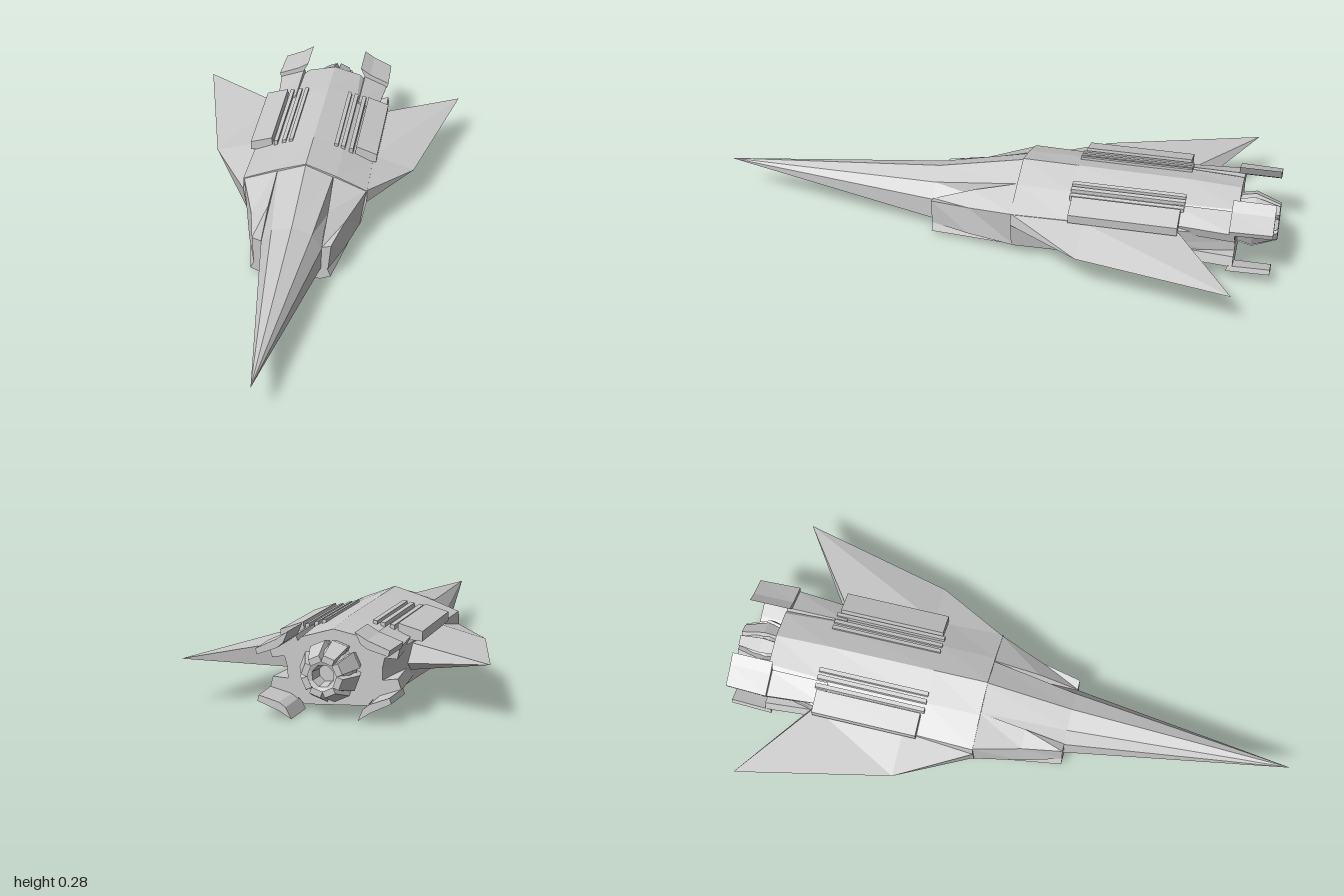
import * as THREE from 'three';

const material = new THREE.MeshStandardMaterial({ color: 0xcccccc, flatShading: true });

// Closed loft through rings of [x, y, z], ordered front to back
function loft(rings) {
  const area = (r) => r.reduce((s, p, i) => {
    const q = r[(i + 1) % r.length];
    return s + p[0] * q[1] - q[0] * p[1];
  }, 0);
  if (rings.reduce((s, r) => s + area(r), 0) < 0) rings = rings.map((r) => [...r].reverse());
  const pos = [];
  const tri = (...pts) => pts.forEach((p) => pos.push(...p));
  const n = rings[0].length;
  for (let i = 0; i < rings.length - 1; i++) {
    for (let j = 0; j < n; j++) {
      const k = (j + 1) % n, A = rings[i], B = rings[i + 1];
      tri(A[j], B[j], A[k]);
      tri(A[k], B[j], B[k]);
    }
  }
  const F = rings[0], L = rings[rings.length - 1];
  for (let j = 1; j < n - 1; j++) {
    tri(F[0], F[j], F[j + 1]);
    tri(L[0], L[j + 1], L[j]);
  }
  const g = new THREE.BufferGeometry();
  g.setAttribute('position', new THREE.Float32BufferAttribute(pos, 3));
  g.computeVertexNormals();
  return g;
}

// Flat section at depth z
const at = (z, pts) => pts.map(([x, y]) => [x, y, z]);
// Half profile from top centre to bottom centre, completed by mirroring
const whole = (z, half) => at(z, [...half, ...half.slice(1, -1).reverse().map(([x, y]) => [-x, y])]);

export function createModel() {
  const craft = new THREE.Group();
  const add = (name, geometry) => {
    const m = new THREE.Mesh(geometry, material);
    m.name = name;
    craft.add(m);
    return m;
  };
  const pair = (name, rings) => {
    add(name + 'Left', loft(rings));
    add(name + 'Right', loft(rings.map((r) => r.map(([x, y, z]) => [-x, y, z]))));
  };

  // Needle nose widening into the forward fuselage
  add('nose', loft([
    whole(0.98, Array(5).fill([0, 0.13])),
    whole(0.2, [[0, 0.205], [0.07, 0.18], [0.105, 0.13], [0.105, 0.05], [0, 0.05]]),
    whole(-0.12, [[0, 0.275], [0.1, 0.237], [0.12, 0.13], [0.11, 0.04], [0, 0.03]]),
  ]));

  // Faceted main hull
  add('hull', loft([
    whole(-0.1, [[0, 0.275], [0.11, 0.237], [0.222, 0.19], [0.222, 0.145], [0.205, 0.05], [0.12, 0.02], [0, 0.02]]),
    whole(-0.29, [[0, 0.273], [0.11, 0.238], [0.217, 0.19], [0.217, 0.14], [0.2, 0.05], [0.11, 0.005], [0, 0.005]]),
    whole(-0.67, [[0, 0.27], [0.11, 0.238], [0.2, 0.19], [0.195, 0.14], [0.185, 0.06], [0.11, 0.005], [0, 0.005]]),
    whole(-0.86, [[0, 0.26], [0.1, 0.235], [0.16, 0.18], [0.15, 0.14], [0.15, 0.08], [0.1, 0.025], [0, 0.025]]),
  ]));

  // Cheek intakes beside the nose
  pair('cheek', [
    at(0.2, [[0.09, 0.055], [0.13, 0.05], [0.137, 0.145], [0.105, 0.135]]),
    at(0.06, [[0.09, 0.05], [0.17, 0.05], [0.165, 0.155], [0.105, 0.19]]),
    at(-0.11, [[0.09, 0.045], [0.205, 0.05], [0.222, 0.19], [0.1, 0.238]]),
  ]);

  // Lower intake ducts
  pair('lowerIntake', [
    at(0.2, [[0.045, 0.055], [0.06, 0.006], [0.105, 0.006], [0.14, 0.02], [0.125, 0.055]]),
    at(-0.12, [[0.02, 0.055], [0.03, 0.02], [0.12, 0.02], [0.2, 0.05], [0.19, 0.07]]),
  ]);

  // Swept wings, thick at the root and sharp at the edge
  pair('wing', [
    at(-0.1, [[0.2, 0.05], [0.222, 0.145], [0.217, 0.19], [0.15, 0.12]]),
    at(-0.35, [[0.2, 0.05], [0.365, 0.143], [0.215, 0.188], [0.15, 0.12]]),
    [[0.19, 0.1, -0.67], [0.487, 0.163, -0.88], [0.2, 0.185, -0.67], [0.15, 0.12, -0.67]],
  ]);

  // Raised shoulder panels and the slim rails beside them
  const panel = [[0.15, 0.2], [0.23, 0.19], [0.232, 0.222], [0.155, 0.247]];
  pair('shoulderPanel', [at(-0.3, panel), at(-0.67, panel)]);
  for (const [x, y] of [[0.138, 0.245], [0.108, 0.252], [0.083, 0.258]]) {
    const rail = [[x - 0.007, y - 0.04], [x + 0.007, y - 0.04], [x + 0.007, y - 0.003], [x - 0.007, y]];
    pair('rail', [at(-0.29, rail), at(-0.68, rail)]);
  }

  // Bent tail flaps, two above and two below the engine
  for (const s of [1, -1]) {
    const flap = (z, dx) => at(z, [
      [0.208 + dx, 0.062], [0.213 + dx, 0.08], [0.14, 0.11], [0.103, 0.134], [0.12, 0.098], [0.14, 0.083],
    ].map(([x, h]) => [x, 0.14 + s * h]));
    pair(s > 0 ? 'upperFlap' : 'lowerFlap', [flap(-0.84, 0), flap(-0.985, -0.005)]);
    // Fairing that carries the flap back from the hull
    const root = (z, x) => at(z, [[0.1, 0.04], [x - 0.01, 0.03], [x, 0.065], [0.12, 0.1]]
      .map(([px, h]) => [px, 0.14 + s * h]));
    pair(s > 0 ? 'upperFairing' : 'lowerFairing', [root(-0.64, 0.19), root(-0.86, 0.208)]);
  }

  // Hollow engine nozzle
  const nozzle = add('nozzle', new THREE.LatheGeometry(
    [[0, 0.82], [0.06, 0.84], [0.085, 0.89], [0.078, 0.94], [0.05, 0.99], [0.035, 0.985], [0.028, 0.93], [0, 0.93]]
      .map(([r, h]) => new THREE.Vector2(r, h)), 8, Math.PI / 8));
  nozzle.rotation.x = -Math.PI / 2;
  nozzle.position.y = 0.14;

  // Petals around the nozzle
  for (let i = 0; i < 8; i++) {
    const a = (i + 0.5) * Math.PI / 4;
    const ring = (z, r, w) => [[r - 0.02, -w], [r, -w], [r, w], [r - 0.02, w]].map(([p, q]) => [
      p * Math.cos(a) - q * Math.sin(a), 0.14 + p * Math.sin(a) + q * Math.cos(a), z]);
    add('petal', loft([ring(-0.85, 0.08, 0.02), ring(-0.91, 0.092, 0.026), ring(-0.995, 0.062, 0.018)]));
  }

  // Slight yaw and roll of the whole craft
  craft.rotation.set(0, -0.03, -0.03);
  craft.position.set(-0.021, 0, 0);
  const model = new THREE.Group();
  model.name = 'starfighter';
  model.add(craft);
  return model;
}
